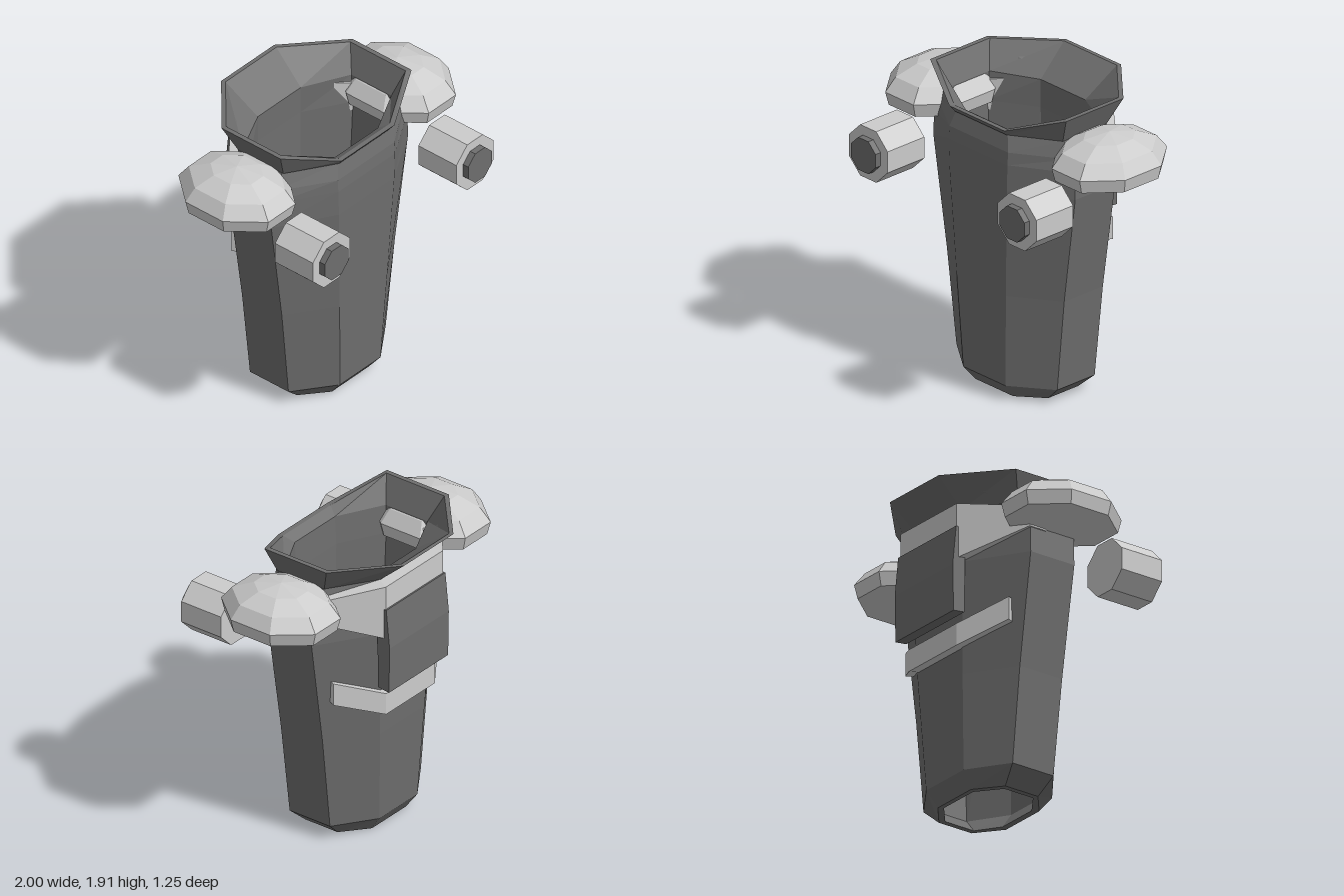
import * as THREE from 'three';

const paint = (color) => new THREE.MeshStandardMaterial({ color, flatShading: true, side: THREE.DoubleSide });
const light = paint(0xcccccc);
const dark = paint(0x6e6e6e);

function mesh(name, geometry, material) {
  const m = new THREE.Mesh(geometry, material);
  m.name = name;
  return m;
}

// Skin between closed cross-sections of equal point count, with optional flat ends.
function loft(rings, caps = false) {
  const pos = [];
  const tri = (...pts) => pts.forEach((p) => pos.push(...p));
  const n = rings[0].length;
  for (let i = 0; i < rings.length - 1; i++) {
    for (let j = 0; j < n; j++) {
      const k = (j + 1) % n;
      const a = rings[i][j], b = rings[i][k], c = rings[i + 1][k], d = rings[i + 1][j];
      tri(a, b, c);
      tri(a, c, d);
    }
  }
  if (caps) {
    const first = rings[0], last = rings[rings.length - 1];
    for (let j = 1; j < n - 1; j++) {
      tri(first[0], first[j + 1], first[j]);
      tri(last[0], last[j], last[j + 1]);
    }
  }
  const g = new THREE.BufferGeometry();
  g.setAttribute('position', new THREE.Float32BufferAttribute(pos, 3));
  g.computeVertexNormals();
  return g;
}

// Stretched octagon: half width, front and back z, corner x, side z range, own height for the front edge.
function octagon(y, hx, zf, zb, cx, sf, sb, yFront = y) {
  return [
    [cx, yFront, zf], [hx, y, sf], [hx, y, sb], [cx, y, zb],
    [-cx, y, zb], [-hx, y, sb], [-hx, y, sf], [-cx, yFront, zf],
  ];
}

// Strip wrapped round the back; each station is x, outer z, bottom y, top y, thickness.
function backBand(stations) {
  const half = stations.map(([x, z, y0, y1, t]) => [x, z, y0, y1, t]);
  const mirrored = half.map(([x, ...rest]) => [-x, ...rest]).reverse();
  return loft([...half, ...mirrored].map(([x, z, y0, y1, t]) => {
    const xi = x - Math.sign(x) * t * 0.5;
    return [[x, y0, z], [x, y1, z], [xi, y1, z + t], [xi, y0, z + t]];
  }), true);
}

export function createModel() {
  const model = new THREE.Group();

  // Tapered hollow torso, outside
  model.add(mesh('bodyShell', loft([
    octagon(0, 0.32, 0.17, -0.33, 0.16, 0.04, -0.2),
    octagon(0.1, 0.43, 0.25, -0.4, 0.18, 0.07, -0.23),
    octagon(0.7, 0.5, 0.275, -0.43, 0.21, 0.08, -0.23),
    octagon(1.4, 0.605, 0.3, -0.46, 0.245, 0.09, -0.23),
    octagon(1.57, 0.6, 0.3, -0.45, 0.25, 0.09, -0.23),
    octagon(1.65, 0.57, 0.295, -0.45, 0.25, 0.09, -0.23),
    octagon(1.75, 0.51, 0.27, -0.44, 0.22, 0.09, -0.25),
  ]), dark));

  // Inner wall, open at the bottom
  model.add(mesh('bodyLining', loft([
    octagon(1.75, 0.48, 0.22, -0.38, 0.19, 0.07, -0.24),
    octagon(1.57, 0.47, 0.21, -0.38, 0.19, 0.06, -0.22),
    octagon(0.1, 0.38, 0.2, -0.36, 0.15, 0.05, -0.21),
    octagon(0, 0.285, 0.13, -0.3, 0.14, 0.03, -0.18),
    octagon(0, 0.32, 0.17, -0.33, 0.16, 0.04, -0.2),
  ]), dark));

  // Flared collar, low at the front and wide at the back
  model.add(mesh('collar', loft([
    octagon(1.75, 0.51, 0.28, -0.44, 0.22, 0.1, -0.25),
    octagon(1.915, 0.58, 0.31, -0.625, 0.235, 0.14, -0.32, 1.79),
    octagon(1.915, 0.55, 0.28, -0.6, 0.225, 0.12, -0.31, 1.79),
    octagon(1.75, 0.48, 0.22, -0.38, 0.19, 0.07, -0.24),
  ]), dark));

  // Light yoke behind the shoulders
  model.add(mesh('backYoke', backBand([
    [0.61, -0.13, 1.56, 1.66, 0.1],
    [0.61, -0.24, 1.56, 1.69, 0.1],
    [0.27, -0.52, 1.4, 1.75, 0.1],
  ]), light));

  // Strap across the back
  model.add(mesh('backStrap', backBand([
    [0.5, -0.31, 0.98, 1.125, 0.04],
    [0.23, -0.49, 0.86, 1.0, 0.06],
  ]), light));

  // Slightly bowed plate on the back
  const profile = [[-0.485, 1.6], [-0.53, 1.6], [-0.555, 1.35], [-0.55, 1.05], [-0.47, 1.06], [-0.465, 1.4]];
  model.add(mesh('backPlate', loft([-0.28, 0.28].map((x) => profile.map(([z, y]) => [x, y, z])), true), dark));

  // Shoulder domes and forward barrels, mirrored
  const dome = new THREE.LatheGeometry(
    [[0, 1.57], [0.94, 1.57], [1, 1.655], [0.82, 1.74], [0.45, 1.8], [0, 1.825]]
      .map(([r, y]) => new THREE.Vector2(r, y)), 8, Math.PI / 8);
  dome.scale(0.314, 1, 0.379);

  const octBarrel = (apothem, z0, z1) => new THREE.CylinderGeometry(
    apothem / Math.cos(Math.PI / 8), apothem / Math.cos(Math.PI / 8), z1 - z0, 8)
    .rotateY(Math.PI / 8).rotateX(Math.PI / 2).translate(0, 0, (z0 + z1) / 2);

  for (const [side, s] of [['left', 1], ['right', -1]]) {
    const pad = mesh(side + 'ShoulderPad', dome, light);
    pad.position.set(s * 0.71, 0, -0.085);

    const barrel = new THREE.Group();
    barrel.name = side + 'Barrel';
    barrel.add(mesh('barrelHousing', octBarrel(0.165, 0.29, 0.585), light));
    barrel.add(mesh('barrelTip', octBarrel(0.105, 0.57, 0.625), dark));
    barrel.position.set(s * 0.635, 1.43, 0);
    model.add(pad, barrel);
  }
  return model;
}
